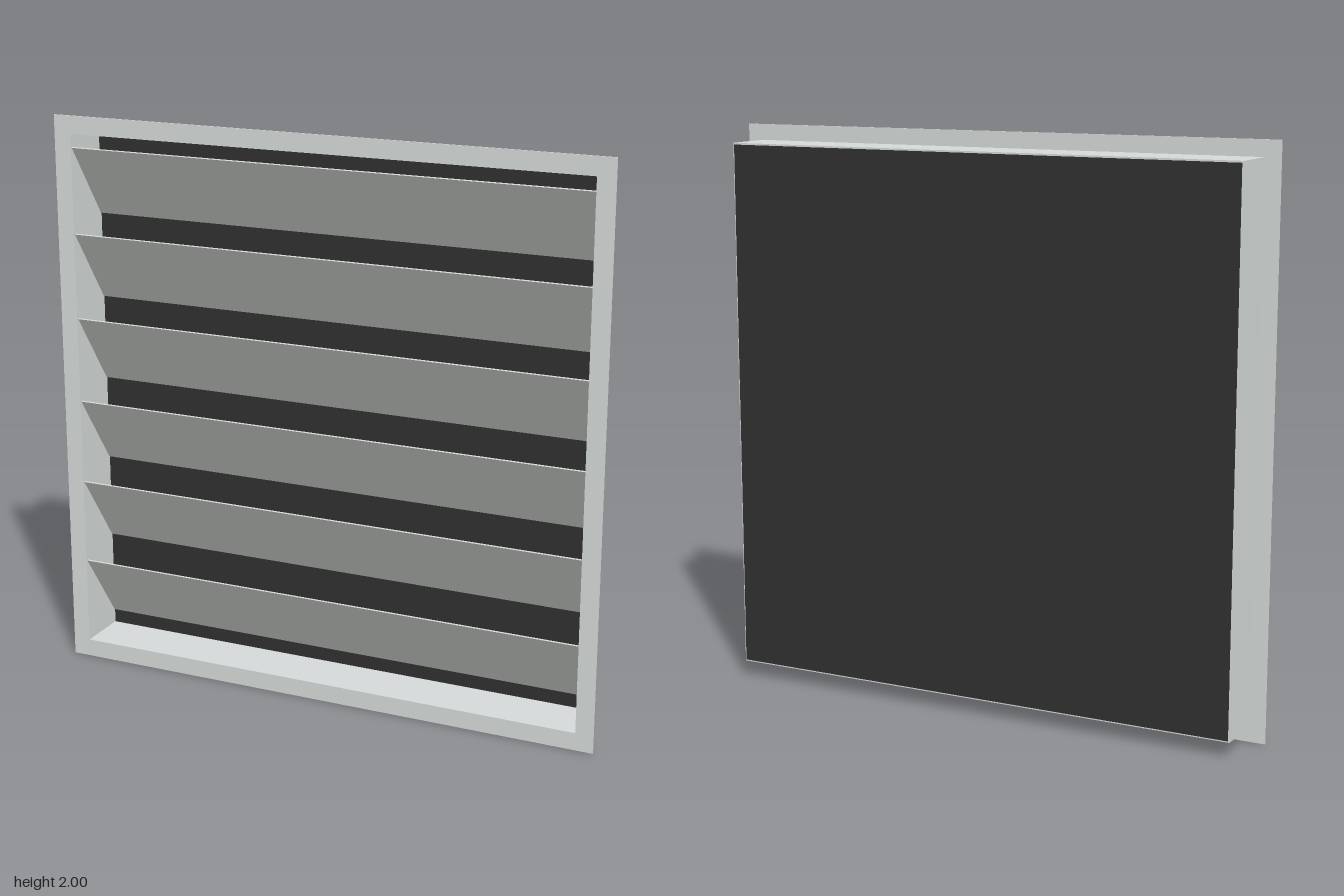
import * as THREE from 'three';

export function createModel() {
  const group = new THREE.Group();
  group.name = 'louverVent';
  const frameGrey = new THREE.MeshStandardMaterial({ color: 0xd4d9d8 });
  frameGrey.name = 'frame grey';
  const slatGrey = new THREE.MeshStandardMaterial({ color: 0xcfd1cf });
  slatGrey.name = 'slat grey';
  const backDark = new THREE.MeshStandardMaterial({ color: 0x303030 });
  backDark.name = 'dark backing';

  const front = 0.097, back = -0.097, sheet = 0.005;

  function add(name, geometry, material, x, y, z) {
    const mesh = new THREE.Mesh(geometry, material);
    mesh.name = name;
    mesh.position.set(x, y, z);
    group.add(mesh);
    return mesh;
  }

  // Square ring extruded along z, centred on the origin
  function ring(outer, inner, depth) {
    const outline = h => [[-h, -h], [h, -h], [h, h], [-h, h]].map(p => new THREE.Vector2(...p));
    const shape = new THREE.Shape(outline(outer));
    shape.holes.push(new THREE.Path(outline(inner).reverse()));
    return new THREE.ExtrudeGeometry(shape, { depth, bevelEnabled: false });
  }

  // Thin flange around the opening, and the duct sleeve behind it
  add('flange', ring(1, 0.937, sheet), frameGrey, 0, 1, front - sheet);
  add('sleeve', ring(0.944, 0.937, front - back - 2 * sheet), frameGrey, 0, 1, back + sheet);

  // Closed dark back panel, set in slightly from the sleeve's edge
  add('backPanel', new THREE.BoxGeometry(1.876, 1.876, sheet), backDark, 0, 1, back + sheet / 2);

  // Sloping slats: high at the front, low at the back
  const zFront = front - 0.007, zBack = back + sheet + 0.001;
  const rise = 0.262, run = zFront - zBack;
  const slat = new THREE.BoxGeometry(1.874, Math.hypot(rise, run) - 0.004, sheet);
  for (let i = 0; i < 6; i++) {
    const blade = add('slat', slat, slatGrey, 0, 1.76 - i * 0.303, (zFront + zBack) / 2);
    blade.rotation.x = Math.atan2(run, rise);
  }
  return group;
}
